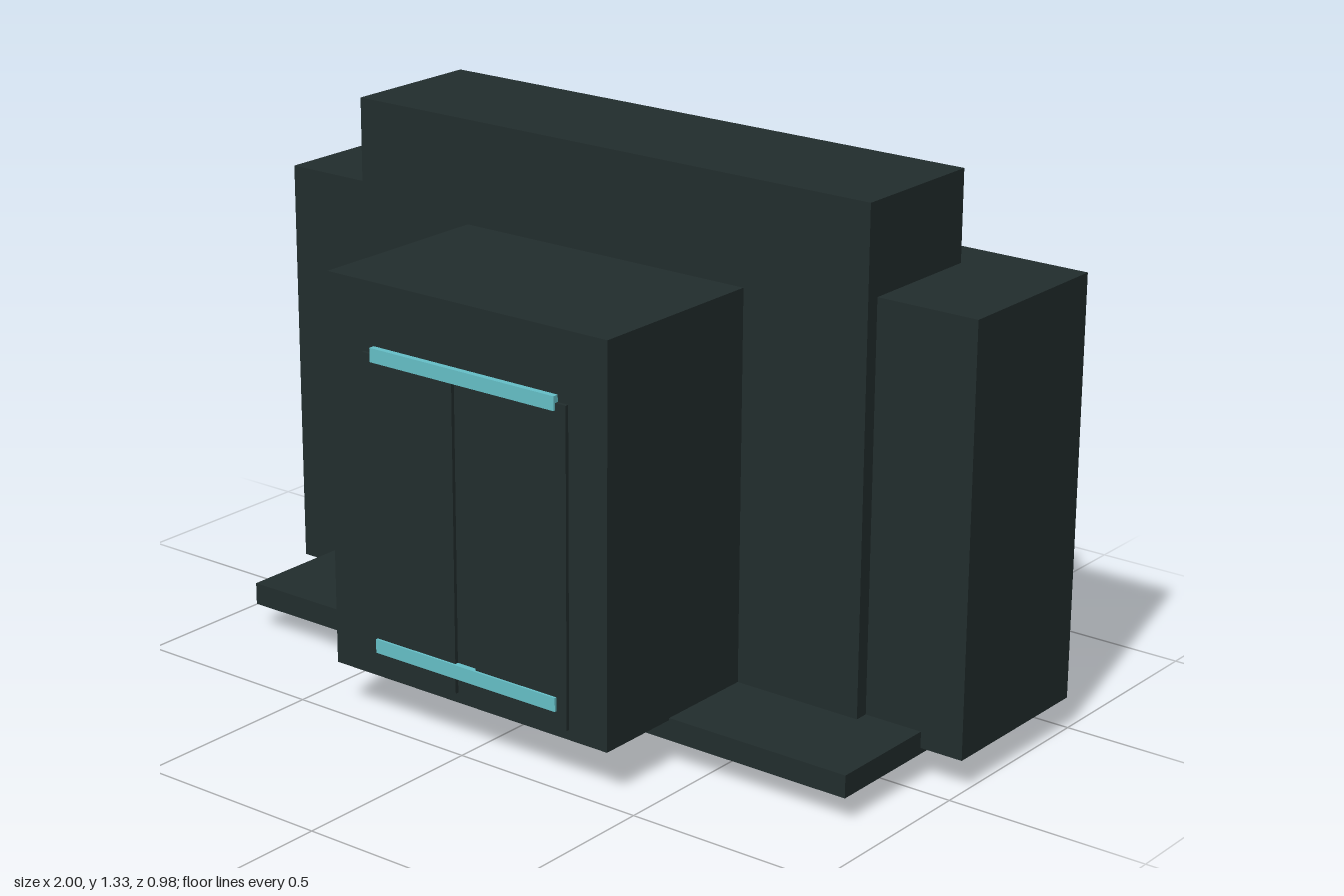
import * as THREE from 'three';

export function createModel() {
  const model = new THREE.Group();
  const casing = new THREE.MeshStandardMaterial({ color: 0x222d2d });
  casing.name = 'dark casing';
  const glow = new THREE.MeshStandardMaterial({ color: 0x66c0c8 });
  glow.name = 'cyan light';

  // Box given by its extents on each axis
  function box(name, x0, x1, y0, y1, z0, z1, material = casing) {
    const mesh = new THREE.Mesh(new THREE.BoxGeometry(x1 - x0, y1 - y0, z1 - z0), material);
    mesh.position.set((x0 + x1) / 2, (y0 + y1) / 2, (z0 + z1) / 2);
    mesh.name = name;
    model.add(mesh);
  }

  // Main masses
  box('mainBody', -0.74, 0.74, 0, 1.33, -0.375, -0.01);
  box('frontBlock', -0.405, 0.405, 0.115, 1.075, -0.02, 0.475);
  box('baseLedge', -0.89, 0.89, 0.065, 0.12, -0.34, 0.25);
  box('leftTower', 0.635, 1, 0.08, 1.11, -0.49, -0.045);
  box('rightTower', -1, -0.635, 0.08, 1.11, -0.49, -0.045);

  // Pair of door panels with a gap between them
  box('leftDoor', 0.03, 0.297, 0.14, 0.907, 0.47, 0.484);
  box('rightDoor', -0.297, -0.03, 0.14, 0.907, 0.47, 0.484);

  // Light bars across the doors
  box('upperLight', -0.268, 0.268, 0.89, 0.924, 0.474, 0.49, glow);
  box('lowerLight', -0.268, 0.268, 0.18, 0.214, 0.474, 0.49, glow);

  // Round studs along the back
  for (const x of [-0.298, 0, 0.298]) {
    const stud = new THREE.Mesh(new THREE.CylinderGeometry(0.055, 0.055, 0.044, 12), casing);
    stud.material.flatShading = true;
    stud.position.set(x, 1.143, -0.375);
    stud.name = 'backStud';
    model.add(stud);
  }

  // Vent slats on the back
  for (let i = 0; i < 6; i++) {
    const x = -0.627 + i * 0.0525;
    box('ventSlat', x - 0.009, x + 0.009, 0.7, 1.08, -0.4, -0.37);
  }
  return model;
}
